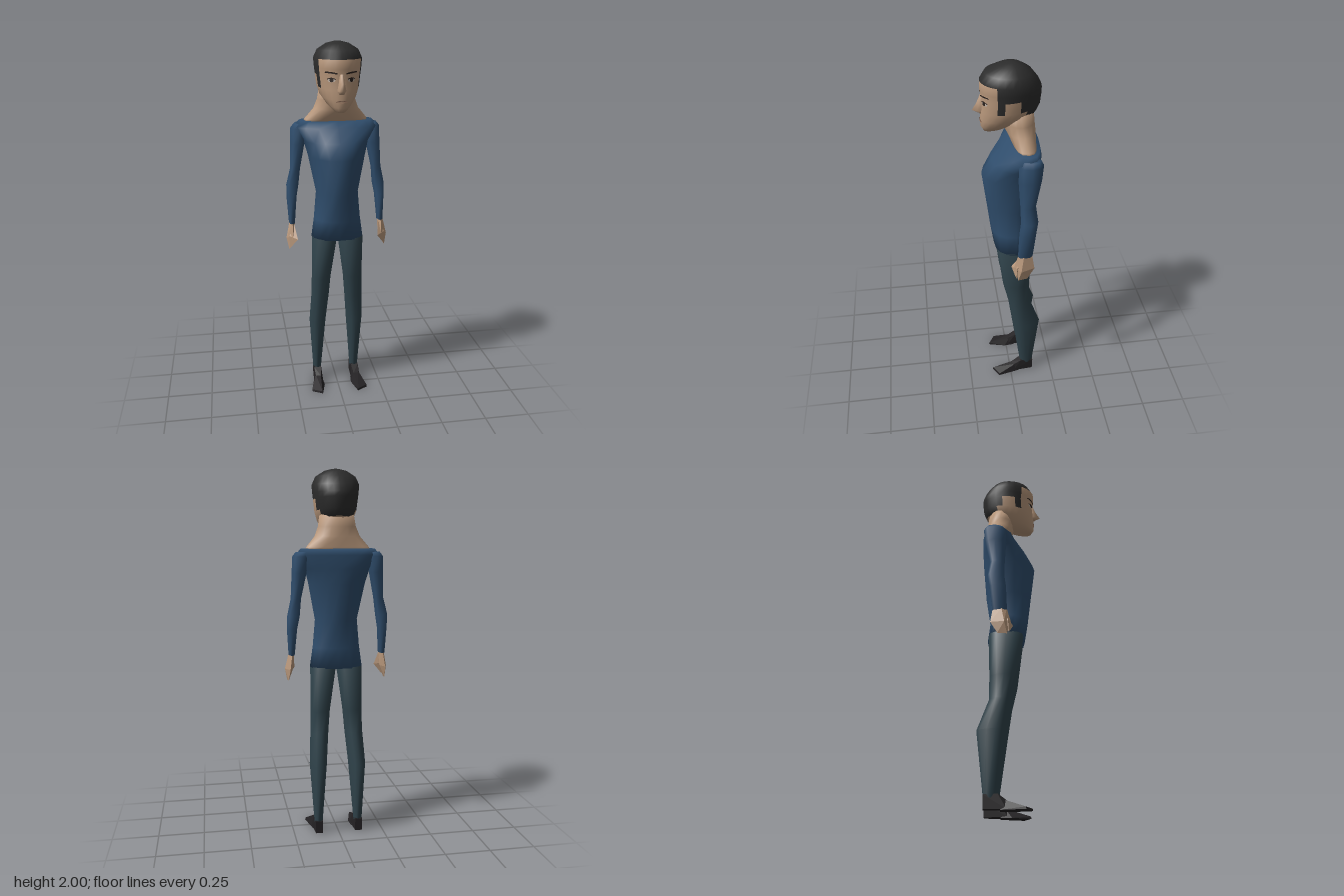
import * as THREE from 'three';
import { ConvexGeometry } from 'three/addons/geometries/ConvexGeometry.js';

const mat = (name, color, side = THREE.FrontSide) => {
  const m = new THREE.MeshStandardMaterial({ color, side });
  m.name = name;
  return m;
};

// Smooth capped loft. Rings run bottom to top:
// [y, centreX, halfWidth, zBack, zWidest, zFront, power, yRise].
// power below 1 squares the section, above 1 makes it a diamond; yRise lifts the back of a ring;
// pick(ring, segment) chooses a material index.
function loft(rings, n, pick = () => 0) {
  const pos = [], faces = [[], []];
  for (const [y, cx, w, zB, zM, zF, power = 1, rise = 0] of rings) {
    const bend = v => Math.sign(v) * Math.abs(v) ** power;
    for (let j = 0; j < n; j++) {
      const a = j / n * Math.PI * 2, c = bend(Math.cos(a));
      pos.push(cx + w * bend(Math.sin(a)), y + rise * (1 - c) / 2, zM + c * (c > 0 ? zF - zM : zM - zB));
    }
  }
  const last = rings.length - 1;
  for (const i of [0, last]) {
    const [y, cx, , zB, , zF, , rise = 0] = rings[i];
    pos.push(cx, y + rise / 2, (zB + zF) / 2);
  }
  const low = rings.length * n, high = low + 1;
  for (let j = 0; j < n; j++) {
    const k = (j + 1) % n;
    for (let i = 0; i < last; i++) {
      const a = i * n + j, b = i * n + k, c = b + n, d = a + n;
      faces[pick(i, j)].push(a, b, c, a, c, d);
    }
    faces[0].push(low, k, j);
    faces[pick(last, j)].push(high, last * n + j, last * n + k);
  }
  const g = new THREE.BufferGeometry();
  g.setAttribute('position', new THREE.Float32BufferAttribute(pos, 3));
  g.setIndex([...faces[0], ...faces[1]]);
  if (faces[1].length) {
    g.addGroup(0, faces[0].length, 0);
    g.addGroup(faces[0].length, faces[1].length, 1);
  }
  g.computeVertexNormals();
  return g;
}

const hull = (pts, s) => new ConvexGeometry(pts.map(([x, y, z]) => new THREE.Vector3(x * s, y, z)));

const HEAD = [
  [1.65, 0, 0.038, -0.02, 0.05, 0.122, 1, 0.03],
  [1.675, 0, 0.07, -0.1, 0.01, 0.138, 1, 0.05],
  [1.715, 0, 0.096, -0.14, 0, 0.139, 1, 0.04],
  [1.765, 0, 0.111, -0.158, -0.01, 0.138, 1, 0.03],
  [1.83, 0, 0.119, -0.165, -0.01, 0.131, 1, 0.025],
  [1.87, 0, 0.123, -0.165, -0.01, 0.139, 1, 0.01],
  [1.918, 0, 0.127, -0.148, -0.01, 0.14],
  [1.96, 0, 0.108, -0.115, -0.01, 0.115],
  [1.99, 0, 0.06, -0.07, -0.015, 0.05],
  [2.0, 0, 0.02, -0.035, -0.015, 0.005],
];

// Depth of the face surface at a point, used to drape the painted features
function faceZ(x, y) {
  let i = 0;
  while (i < HEAD.length - 2 && HEAD[i + 1][0] < y) i++;
  const a = HEAD[i], b = HEAD[i + 1], t = (y - a[0]) / (b[0] - a[0]);
  const [w, zM, zF] = [2, 4, 5].map(k => a[k] + (b[k] - a[k]) * t);
  return zM + (zF - zM) * Math.sqrt(Math.max(0, 1 - (x / w) ** 2));
}

function patch(points, lift) {
  const g = new THREE.ShapeGeometry(new THREE.Shape(points.map(([x, y]) => new THREE.Vector2(x, y))));
  const p = g.attributes.position;
  for (let i = 0; i < p.count; i++) p.setZ(i, faceZ(p.getX(i), p.getY(i)) + lift);
  g.computeVertexNormals();
  return g;
}

const oval = (cx, cy, rx, ry, n = 8) => Array.from({ length: n }, (_, i) => {
  const a = i / n * Math.PI * 2;
  return [cx + rx * Math.cos(a), cy + ry * Math.sin(a)];
});

export function createModel() {
  const model = new THREE.Group();
  model.name = 'standingMan';
  const skin = mat('skin', 0xb9987c);
  const hair = mat('hair', 0x2c2c2c);
  const shirt = mat('shirtBlue', 0x2f4d6c);
  const trousers = mat('trouserGrey', 0x30434b);
  const shoe = mat('shoeBlack', 0x242224);
  const eyeWhite = mat('eyeWhite', 0xb9aca0, THREE.DoubleSide);
  const dark = mat('featureDark', 0x2a211d, THREE.DoubleSide);
  const lip = mat('lip', 0x94705d, THREE.DoubleSide);
  const add = (name, geometry, material) => {
    const m = new THREE.Mesh(geometry, material);
    m.name = name;
    model.add(m);
  };

  // Head: the hair starts at a different ring for each segment from front to back
  const hairStart = [6, 6, 6, 6, 3, 4, 4, 3, 2, 2, 2, 2];
  add('headAndHair', loft(HEAD, 24, (i, j) => (i >= hairStart[j < 12 ? j : 23 - j] ? 1 : 0)), [skin, hair]);
  add('nose', loft([
    [1.745, 0, 0.018, 0.1, 0.122, 0.141],
    [1.764, 0, 0.027, 0.1, 0.122, 0.178, 1.5],
    [1.8, 0, 0.019, 0.1, 0.122, 0.156, 1.3],
    [1.845, 0, 0.012, 0.1, 0.12, 0.137],
  ], 8), skin);
  add('mouth', patch([[-0.032, 1.708], [0, 1.702], [0.032, 1.708], [0.012, 1.715], [-0.012, 1.715]], 0.004), lip);

  // Neck flaring into the shoulders
  add('neck', loft([
    [1.575, 0, 0.178, -0.135, -0.085, -0.025, 0.7],
    [1.592, 0, 0.17, -0.135, -0.082, -0.015, 0.75],
    [1.65, 0, 0.122, -0.138, -0.07, 0.015],
    [1.7, 0, 0.103, -0.133, -0.06, 0.022],
    [1.77, 0, 0.092, -0.128, -0.05, 0.03],
  ], 16), skin);

  // Shirt body: square at the hem and shoulders, narrow at the waist
  add('shirtBody', loft([
    [0.94, 0, 0.145, -0.125, -0.03, 0.08, 0.75],
    [1.05, 0, 0.13, -0.112, -0.03, 0.097, 0.9],
    [1.2, 0, 0.117, -0.135, -0.03, 0.115, 1.1],
    [1.4, 0, 0.156, -0.152, -0.055, 0.14, 1],
    [1.48, 0, 0.178, -0.157, -0.075, 0.09, 0.9],
    [1.552, 0, 0.23, -0.16, -0.09, 0.03, 0.85],
    [1.585, 0, 0.2, -0.155, -0.088, -0.002, 0.85],
  ], 16), shirt);

  for (const s of [1, -1]) {
    const side = s > 0 ? 'left' : 'right';
    const limb = (rings, n) => loft(rings.map(([y, x, ...r]) => [y, x * s, ...r]), n);

    // Face features
    add(side + 'Eye', patch(oval(s * 0.051, 1.817, 0.02, 0.01), 0.004), eyeWhite);
    add(side + 'Iris', patch(oval(s * 0.051, 1.817, 0.01, 0.01), 0.006), dark);
    add(side + 'EyeLid', patch([[s * 0.03, 1.82], [s * 0.051, 1.825], [s * 0.073, 1.82],
      [s * 0.072, 1.824], [s * 0.051, 1.831], [s * 0.031, 1.824]], 0.006), dark);
    add(side + 'Brow', patch([[s * 0.022, 1.846], [s * 0.055, 1.85], [s * 0.085, 1.853],
      [s * 0.08, 1.859], [s * 0.055, 1.859], [s * 0.023, 1.853]], 0.005), dark);

    // Sleeve: slim upper arm, elbow pushed outward and back
    add(side + 'Sleeve', limb([
      [1.015, 0.25, 0.017, -0.098, -0.06, -0.02, 1],
      [1.16, 0.248, 0.028, -0.115, -0.075, -0.026, 1.1],
      [1.23, 0.241, 0.034, -0.125, -0.085, -0.035, 1],
      [1.32, 0.226, 0.028, -0.113, -0.075, -0.033, 1.2],
      [1.46, 0.209, 0.04, -0.143, -0.09, -0.025, 1.15],
      [1.545, 0.202, 0.043, -0.152, -0.092, -0.028, 1],
      [1.568, 0.192, 0.035, -0.14, -0.092, -0.045, 1],
    ], 8), shirt);

    // Hand and thumb
    add(side + 'Hand', hull([[0.234, 1.02, -0.05], [0.266, 1.02, -0.05], [0.25, 1.025, -0.022], [0.25, 1.025, -0.095],
      [0.285, 0.935, -0.035], [0.262, 0.94, -0.108], [0.242, 0.94, -0.06], [0.25, 0.95, 0],
      [0.272, 0.87, -0.02], [0.268, 0.875, -0.07]], s), skin);
    add(side + 'Thumb', hull([[0.24, 1.01, -0.035], [0.225, 0.935, 0.012], [0.268, 0.88, -0.01],
      [0.27, 0.95, -0.015], [0.255, 0.95, -0.045]], s), skin);

    // Trouser leg
    add(side + 'TrouserLeg', limb([
      [0.06, 0.112, 0.023, -0.135, -0.1, -0.062],
      [0.4, 0.109, 0.048, -0.174, -0.075, -0.015, 1.1],
      [0.57, 0.097, 0.051, -0.112, -0.045, 0.01, 1.1],
      [0.7, 0.09, 0.055, -0.112, -0.035, 0.04, 1],
      [0.945, 0.0725, 0.071, -0.118, -0.025, 0.071, 0.8],
    ], 12), trousers);

    // Shoe: a heel block and a thin forefoot turned slightly outward
    add(side + 'ShoeHeel', hull([[0.092, 0.005, -0.135], [0.132, 0.005, -0.135], [0.092, 0.075, -0.137],
      [0.132, 0.075, -0.137], [0.092, 0.08, -0.062], [0.134, 0.08, -0.064],
      [0.086, 0.005, -0.01], [0.14, 0.005, -0.02], [0.1, 0.045, -0.01], [0.13, 0.045, -0.015]], s), shoe);
    add(side + 'ShoeToe', hull([[0.086, 0, -0.05], [0.138, 0, -0.05], [0.1, 0.05, -0.025], [0.13, 0.05, -0.03],
      [0.08, 0, 0.01], [0.144, 0, 0], [0.165, 0, 0.075], [0.163, 0.012, 0.073],
      [0.105, 0, 0.11], [0.107, 0.012, 0.107]], s), shoe);
  }
  return model;
}
